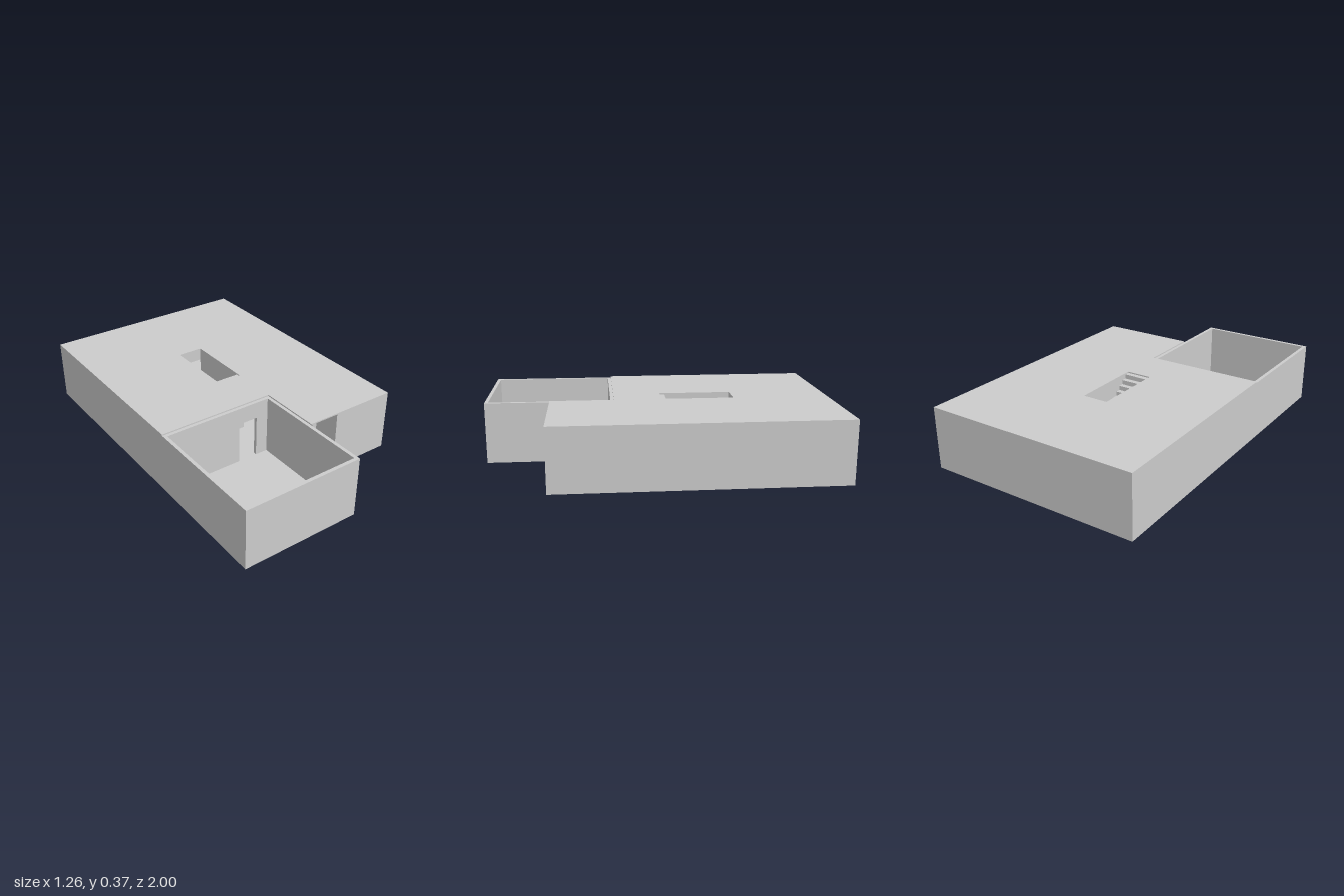
import * as THREE from 'three';

const material = new THREE.MeshStandardMaterial({ color: 0xcccccc, side: THREE.DoubleSide, flatShading: true });
const BASE = 0.005, FLOOR = 0.01, TOP = 0.36, ROOF = 0.367, DOOR = 0.26, T = 0.02;

export function createModel() {
  const model = new THREE.Group();
  model.name = 'house';

  const add = (name, geometry) => {
    const mesh = new THREE.Mesh(geometry, material);
    mesh.name = name;
    model.add(mesh);
    return mesh;
  };

  const block = (name, x0, x1, y0, y1, z0, z1) =>
    add(name, new THREE.BoxGeometry(x1 - x0, y1 - y0, z1 - z0))
      .position.set((x0 + x1) / 2, (y0 + y1) / 2, (z0 + z1) / 2);

  const wall = (name, x0, x1, z0, z1) => block(name, x0, x1, BASE, TOP, z0, z1);

  // Wall running along x with a doorway from d0 to d1
  const doorWall = (name, x0, x1, z0, z1, d0, d1) => {
    wall(name + 'RightPart', x0, d0, z0, z1);
    wall(name + 'LeftPart', d1, x1, z0, z1);
    block(name + 'Lintel', d0, d1, DOOR, TOP, z0, z1);
  };

  // Horizontal slab from a plan outline given as [x, z] corners
  const slab = (name, corners, y0, y1, hole) => {
    const points = list => list.map(([x, z]) => new THREE.Vector2(x, -z));
    const shape = new THREE.Shape(points(corners));
    if (hole) shape.holes.push(new THREE.Path(points(hole)));
    const geometry = new THREE.ExtrudeGeometry(shape, { depth: y1 - y0, bevelEnabled: false });
    geometry.rotateX(-Math.PI / 2);
    geometry.translate(0, y0, 0);
    add(name, geometry);
  };

  const L = 0.632, G = 0.065, R = 0.25;          // outer side, garage side, porch side
  const GZ = 0.26, PZ = 0.47, HZ = 0.63;         // garage back, porch back, house front
  const SX0 = -0.085, SX1 = 0.065, SZ0 = -0.44, SZ1 = -0.015; // stairwell

  // Floor, notched at the porch
  slab('floor', [[-L, -1], [L, -1], [L, HZ], [R, HZ], [R, PZ], [G, PZ], [G, 1], [-L, 1]], BASE, FLOOR);

  // Flat roof with stair opening; the garage stays open
  slab('roof', [[-L, -1], [L, -1], [L, HZ], [G, HZ], [G, GZ], [-L, GZ]], TOP, ROOF,
    [[SX0, SZ0], [SX1, SZ0], [SX1, SZ1], [SX0, SZ1]]);

  // Outer walls
  wall('backWall', -L, L, -1, -1 + T);
  wall('rightWall', -L, -L + T, -1 + T, 1);
  wall('leftWall', L - T, L, -1 + T, HZ);
  wall('frontWall', R, L - T, HZ - T, HZ);

  // Porch recess with the entrance
  wall('porchSideWall', R, R + T, PZ - T, HZ - T);
  doorWall('entranceWall', G, R, PZ - T, PZ, 0.1, 0.22);

  // Garage
  wall('garageFrontWall', -L + T, G, 1 - T, 1);
  wall('garageSideWall', G - T, G, GZ + T, 1 - T);
  doorWall('garageBackWall', -L + T, G, GZ, GZ + T, -0.15, -0.03);

  // Stairwell, open at the foot of the stairs
  wall('stairwellRightWall', SX0 - T, SX0, SZ0, SZ1 + T);
  wall('stairwellLeftWall', SX1, SX1 + T, SZ0, SZ1 + T);
  wall('stairwellEndWall', SX0, SX1, SZ1, SZ1 + T);
  block('stairwellLintel', SX0 - T, SX1 + T, 0.29, TOP, SZ0 - T, SZ0);

  // Stairs rising toward the front, with a sloping underside
  const steps = 14, run = (SZ1 - SZ0) / steps, rise = TOP / steps;
  const profile = new THREE.Shape();
  profile.moveTo(-SZ0, 0);
  for (let i = 0; i < steps; i++) {
    profile.lineTo(-SZ0 - i * run, (i + 1) * rise);
    profile.lineTo(-SZ0 - (i + 1) * run, (i + 1) * rise);
  }
  profile.lineTo(-SZ1, TOP - rise);
  const stairs = new THREE.ExtrudeGeometry(profile, { depth: SX1 - SX0, bevelEnabled: false });
  stairs.rotateY(Math.PI / 2);
  stairs.translate(SX0, 0, 0);
  add('stairs', stairs);

  return model;
}
